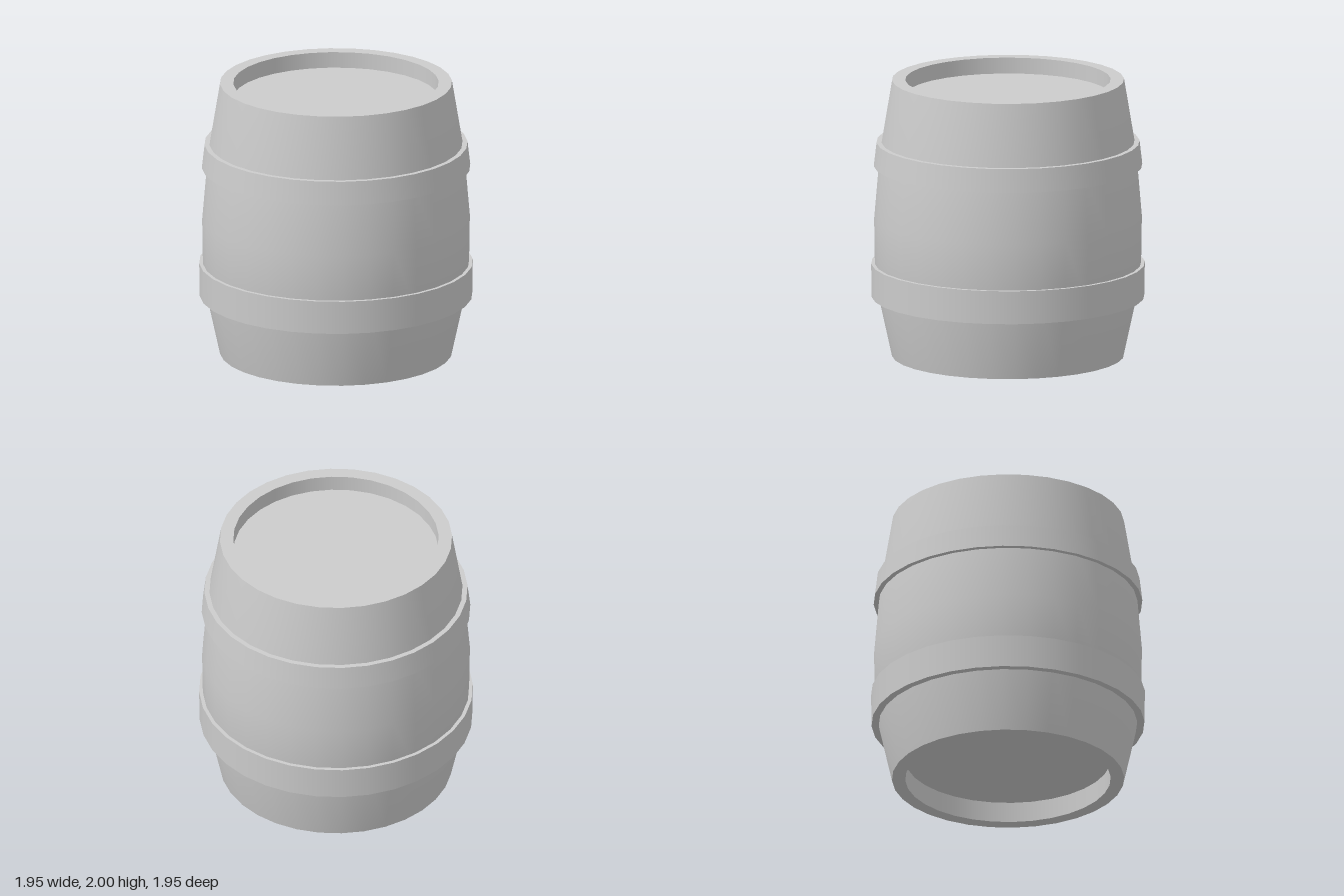
import * as THREE from 'three';
import { mergeGeometries } from 'three/addons/utils/BufferGeometryUtils.js';

const SEGMENTS = 32;
const material = new THREE.MeshStandardMaterial({ color: 0xcccccc });

// Revolves several profile runs into one mesh; edges between runs stay sharp.
function turned(name, runs) {
  const parts = runs.map((run) =>
    new THREE.LatheGeometry(run.map(([r, y]) => new THREE.Vector2(r, y)), SEGMENTS));
  const mesh = new THREE.Mesh(mergeGeometries(parts), material);
  mesh.name = name;
  return mesh;
}

// A flat-edged metal band around the barrel, sunk slightly into the staves.
function hoop(name, yLow, rLow, yHigh, rHigh, rInner) {
  return turned(name, [
    [[rInner, yLow], [rLow, yLow]],
    [[rLow, yLow], [rHigh, yHigh]],
    [[rHigh, yHigh], [rInner, yHigh]],
  ]);
}

export function createModel() {
  const barrel = new THREE.Group();
  barrel.name = 'barrel';

  const rim = 0.825, inner = 0.73, lidY = 1.885, baseY = 0.15;

  // Bulging staves with a flat rim and recess wall at each end
  barrel.add(turned('staves', [
    [[inner, baseY], [inner, 0]],
    [[inner, 0], [rim, 0]],
    [[rim, 0], [0.945, 0.55], [0.952, 1], [0.911, 1.48], [rim, 2]],
    [[rim, 2], [inner, 2]],
    [[inner, 2], [inner, lidY]],
  ]));

  // Recessed heads
  barrel.add(turned('lid', [[[inner, lidY], [0, lidY]]]));
  barrel.add(turned('base', [[[0, baseY], [inner, baseY]]]));

  // Hoops
  barrel.add(hoop('lowerHoop', 0.43, 0.97, 0.67, 0.973, 0.9));
  barrel.add(hoop('upperHoop', 1.38, 0.955, 1.55, 0.935, 0.88));

  return barrel;
}
